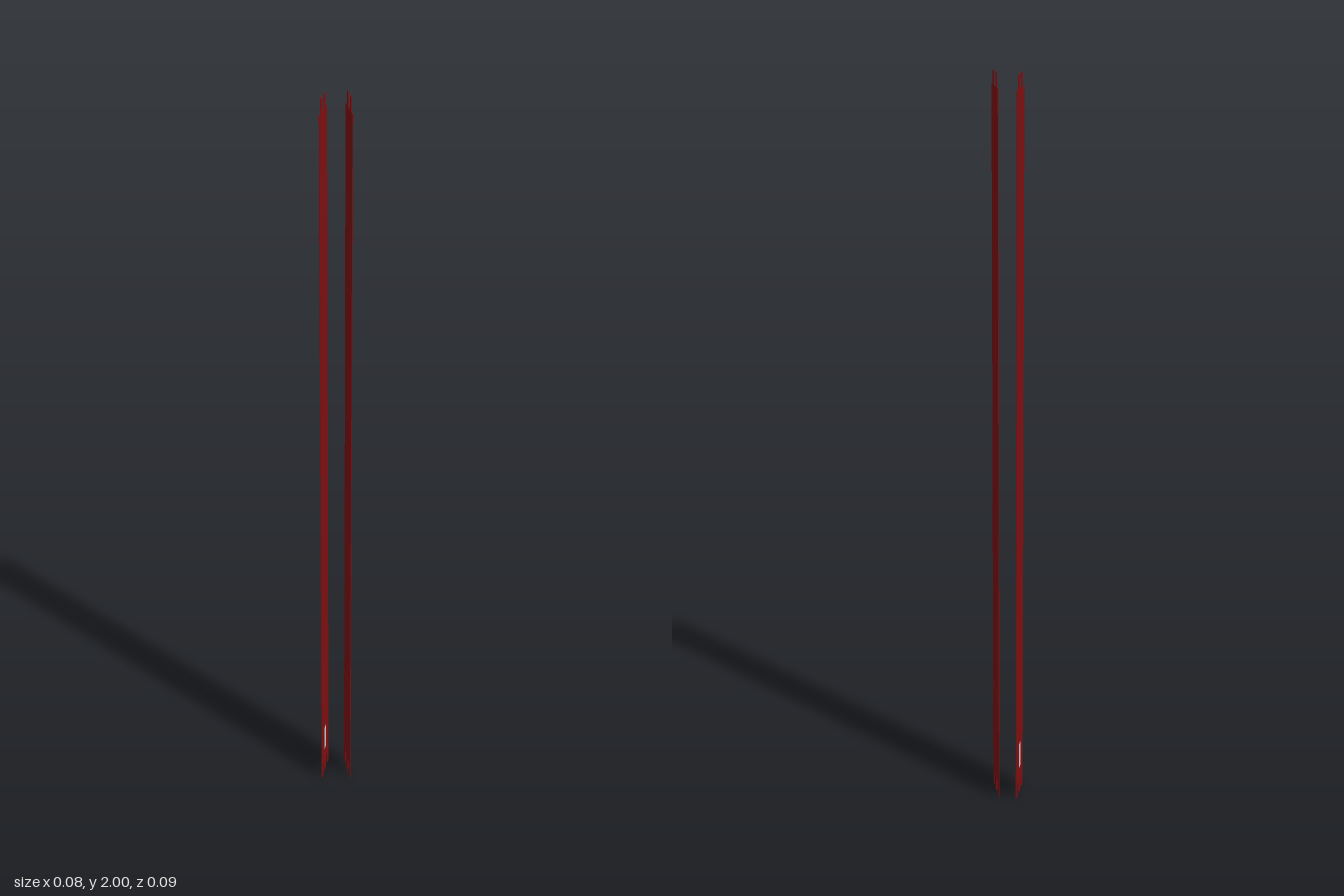
import * as THREE from 'three';

const WIDTH = 0.0955, THICK = 0.002, BODY = 1.958, TAB = 0.037;
const TILT = 0.179; // the planks splay apart towards the front

// Plank outline: two slots in the bottom edge, two matching tabs on the top edge
function plankShape() {
  const w = WIDTH / 2, a = 0.011, b = 0.029;
  const edge = [-w, -b, -a, a, b, w];
  const pts = [];
  const step = (i, low, high, x) => {
    const before = i % 2 ? low : high, after = i % 2 ? high : low;
    pts.push(new THREE.Vector2(x, before), new THREE.Vector2(x, after));
  };
  pts.push(new THREE.Vector2(-w, 0));
  for (let i = 1; i <= 4; i++) step(i, 0, TAB, edge[i]);
  pts.push(new THREE.Vector2(w, 0), new THREE.Vector2(w, BODY));
  for (let i = 4; i >= 1; i--) step(i + 1, BODY, BODY + TAB, edge[i]);
  pts.push(new THREE.Vector2(-w, BODY));
  return new THREE.Shape(pts);
}

// Thin rectangular slit through a plank
function slit(x, y, w, h) {
  return new THREE.Path([
    new THREE.Vector2(x - w / 2, y - h / 2), new THREE.Vector2(x - w / 2, y + h / 2),
    new THREE.Vector2(x + w / 2, y + h / 2), new THREE.Vector2(x + w / 2, y - h / 2),
  ]);
}

export function createModel() {
  const group = new THREE.Group();
  const red = new THREE.MeshStandardMaterial({ color: 0x800f12 });
  const grey = new THREE.MeshStandardMaterial({ color: 0xcccccc });

  for (const side of [-1, 1]) {
    const shape = plankShape();
    // Row of fine slits across the left plank
    if (side > 0) {
      for (let i = -2; i <= 2; i++) shape.holes.push(slit(i * 0.018, 0.305, 0.012, 0.002));
    }
    const geometry = new THREE.ExtrudeGeometry(shape, { depth: THICK, bevelEnabled: false });
    geometry.translate(0, 0, -THICK / 2);

    const plank = new THREE.Group();
    plank.name = side > 0 ? 'leftPlank' : 'rightPlank';
    const board = new THREE.Mesh(geometry, red);
    board.name = 'board';
    plank.add(board);

    // Small plate set through the right plank near its foot
    if (side < 0) {
      const plate = new THREE.Mesh(new THREE.BoxGeometry(0.022, 0.072, THICK + 0.001), grey);
      plate.name = 'plate';
      plate.position.set(0, 0.112, 0);
      plank.add(plate);
    }

    plank.position.set(side * 0.032, side > 0 ? 0.005 : 0, 0);
    plank.rotation.y = -Math.PI / 2 + side * TILT;
    group.add(plank);
  }
  return group;
}
